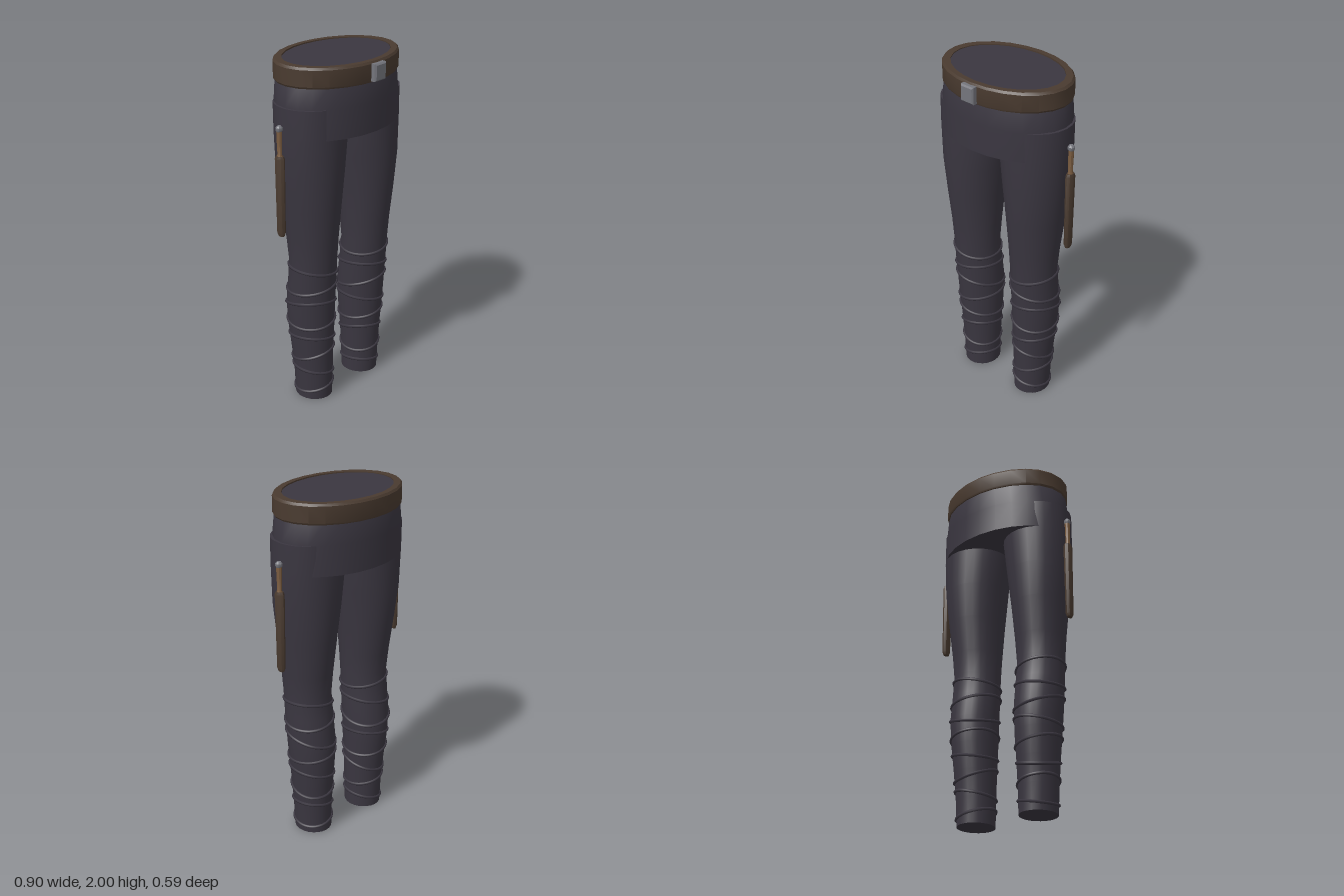
import * as THREE from 'three';
import { toCreasedNormals } from 'three/addons/utils/BufferGeometryUtils.js';

const mat = (color) => new THREE.MeshStandardMaterial({ color });
const cloth = mat(0x3a3640);
const leather = mat(0x4a3b30);
const wood = mat(0x7a5c40);
const metal = mat(0x74757c);

// Closed body through elliptical sections [y, centreX, centreZ, radiusX, radiusZ], top to bottom
function loft(sections, sides = 24) {
  const n = sections.length - 1;
  const geo = new THREE.CylinderGeometry(1, 1, 1, sides, n);
  const p = geo.attributes.position;
  for (let i = 0; i < p.count; i++) {
    const [y, cx, cz, rx, rz] = sections[Math.round((0.5 - p.getY(i)) * n)];
    p.setXYZ(i, cx + p.getX(i) * rx, y, cz + p.getZ(i) * rz);
  }
  return toCreasedNormals(geo, 0.6);
}

function add(parent, name, geo, material) {
  const mesh = new THREE.Mesh(geo, material);
  mesh.name = name;
  parent.add(mesh);
  return mesh;
}

// Section of a loft at any height
function sectionAt(sections, y) {
  let i = 0;
  while (i < sections.length - 2 && sections[i + 1][0] > y) i++;
  const a = sections[i], b = sections[i + 1];
  const t = THREE.MathUtils.clamp((a[0] - y) / (a[0] - b[0]), 0, 1);
  return a.map((v, k) => v + (b[k] - v) * t);
}

const LEG = [
  [1.78, 0.213, -0.008, 0.198, 0.198],
  [1.62, 0.213, -0.007, 0.198, 0.197],
  [1.4, 0.222, -0.005, 0.18, 0.19],
  [1.2, 0.222, -0.002, 0.157, 0.172],
  [1.0, 0.219, 0.002, 0.14, 0.147],
  [0.87, 0.218, 0.004, 0.132, 0.135],
  [0.74, 0.217, -0.006, 0.134, 0.137],
  [0.6, 0.216, -0.02, 0.133, 0.142],
  [0.45, 0.212, -0.021, 0.125, 0.137],
  [0.3, 0.208, -0.018, 0.115, 0.124],
  [0.15, 0.204, -0.015, 0.107, 0.115],
  [0, 0.202, -0.015, 0.102, 0.11],
];

function buildLeg(side) {
  const leg = new THREE.Group();
  const sections = LEG.map(([y, cx, ...rest]) => [y, cx * side, ...rest]);
  add(leg, 'trouserLeg', loft(sections), cloth);

  // Tilted cords wound round the shin
  for (let k = 0; k < 8; k++) {
    const points = [];
    for (let j = 0; j < 24; j++) {
      const a = (j / 24) * Math.PI * 2;
      const tilt = (k % 2 ? -0.022 : 0.022) * Math.sin(a) + (k % 3 - 0.4) * 0.02 * Math.cos(a);
      const y = 0.82 - k * 0.108 + tilt;
      const [, cx, cz, rx, rz] = sectionAt(sections, y);
      points.push(new THREE.Vector3(cx + Math.sin(a) * rx * side, y, cz + Math.cos(a) * rz));
    }
    const path = new THREE.CatmullRomCurve3(points, true);
    add(leg, 'shinWrap', new THREE.TubeGeometry(path, 48, 0.009, 6, true), cloth);
  }
  return leg;
}

// Sheathed knife hanging at the hip
function buildKnife(side) {
  const knife = new THREE.Group();
  const x = 0.43 * side, z = -0.027;
  const stack = (rows) => loft(rows.map(([y, rx, rz]) => [y, x, z, rx, rz]), 8);
  add(knife, 'sheath', stack([[1.525, 0.017, 0.024], [1.51, 0.022, 0.031],
    [1.09, 0.019, 0.027], [1.07, 0.013, 0.019]]), leather);
  add(knife, 'handle', stack([[1.67, 0.015, 0.016], [1.6, 0.013, 0.015],
    [1.535, 0.011, 0.013], [1.515, 0.018, 0.018]]), wood);
  add(knife, 'pommel', stack([[1.69, 0.011, 0.011], [1.68, 0.019, 0.019],
    [1.665, 0.019, 0.019], [1.655, 0.012, 0.012]]), metal);
  return knife;
}

export function createModel() {
  const model = new THREE.Group();
  model.name = 'trousers';

  // Hips, closed at the waist
  add(model, 'hips', loft([
    [1.995, 0, -0.015, 0.34, 0.237],
    [1.9, 0, -0.015, 0.383, 0.27],
    [1.78, 0, -0.013, 0.398, 0.272],
    [1.615, 0, -0.013, 0.4, 0.272],
  ]), cloth);

  // Belt: a bevelled band stretched to an ellipse
  const profile = [[0.35, 1.89], [0.385, 1.89], [0.391, 1.9], [0.391, 1.988],
    [0.38, 2], [0.338, 2], [0.338, 1.98]].map(([r, y]) => new THREE.Vector2(r, y));
  const beltGeo = new THREE.LatheGeometry(profile, 24);
  beltGeo.scale(1, 1, 0.717);
  beltGeo.translate(0, 0, -0.015);
  add(model, 'belt', toCreasedNormals(beltGeo, 0.5), leather);

  // Buckle plate with bevelled edges
  const plate = new THREE.Shape();
  plate.moveTo(-0.036, 1.904).lineTo(0.036, 1.904).lineTo(0.036, 1.982).lineTo(-0.036, 1.982).closePath();
  const buckleGeo = new THREE.ExtrudeGeometry(plate, {
    depth: 0.03, bevelEnabled: true, bevelSize: 0.008, bevelThickness: 0.008, bevelSegments: 1,
  });
  add(model, 'buckle', buckleGeo, metal).position.z = 0.253;

  for (const side of [1, -1]) {
    const label = side > 0 ? 'left' : 'right';
    const leg = buildLeg(side);
    leg.name = label + 'Leg';
    const knife = buildKnife(side);
    knife.name = label + 'Knife';
    model.add(leg, knife);
  }
  return model;
}
